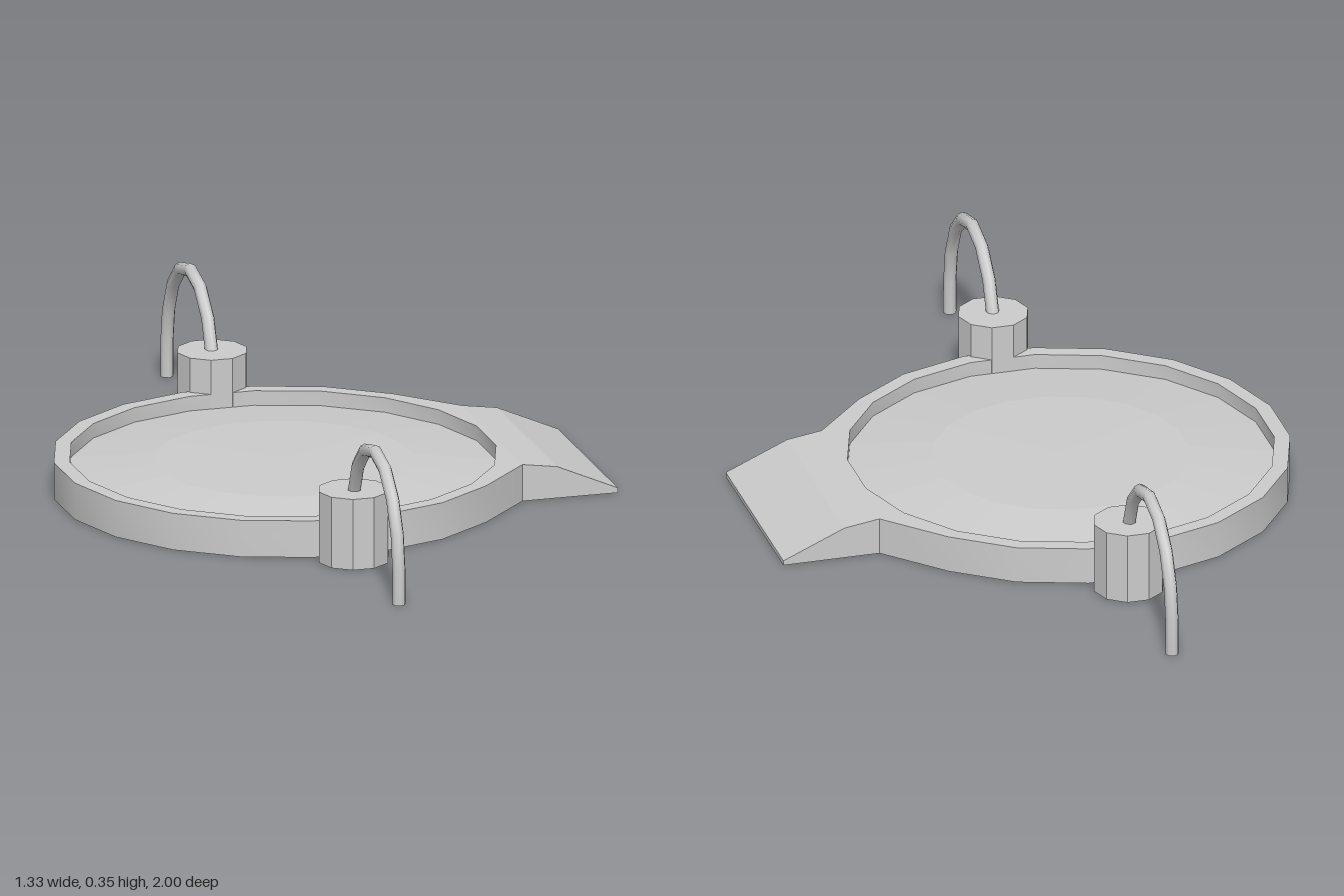
import * as THREE from 'three';

const SIDES = 20, CX = -0.11, TOP = 0.093, LIP_X = 0.422, LIP_Z = 0.255, INNER = 0.523, FLOOR = 0.056;
const smooth = new THREE.MeshStandardMaterial({ color: 0xcccccc, side: THREE.DoubleSide });
const flat = new THREE.MeshStandardMaterial({ color: 0xcccccc, flatShading: true, side: THREE.DoubleSide });

function mesh(name, geometry, material = flat) {
  const m = new THREE.Mesh(geometry, material);
  m.name = name;
  return m;
}

// Ring of points; half a step of turn puts a flat side on each axis
function ring(radius, y) {
  return Array.from({ length: SIDES }, (_, i) => {
    const a = ((i + 0.5) / SIDES) * Math.PI * 2;
    return [CX + radius * Math.cos(a), y, -radius * Math.sin(a)];
  });
}

// Outer ring, squared off where the lip joins on +x
function outerRing(y) {
  const pts = ring(0.562, y);
  for (const i of [0, 1, SIDES - 2, SIDES - 1]) {
    pts[i][0] = LIP_X;
    if (i === 1 || i === SIDES - 2) pts[i][2] = Math.sign(pts[i][2]) * LIP_Z;
  }
  return pts;
}

// Joins successive rows of points with quads; keep(i) drops chosen columns
function loft(rows, closed, keep = () => true) {
  const n = rows[0].length, index = [];
  for (let r = 0; r < rows.length - 1; r++) {
    for (let i = 0; i < (closed ? n : n - 1); i++) {
      if (!keep(i)) continue;
      const j = (i + 1) % n, a = r * n + i, b = r * n + j, c = a + n, d = b + n;
      index.push(a, b, c, b, d, c);
    }
  }
  const g = new THREE.BufferGeometry();
  g.setAttribute('position', new THREE.Float32BufferAttribute(rows.flat(2), 3));
  g.setIndex(index);
  g.computeVertexNormals();
  return g;
}

// Post with a hooked pipe, on the +z side
function createPost(side) {
  const group = new THREE.Group();
  group.name = side + 'Post';
  const h = 0.18, r = 0.088;
  const body = mesh('postBody', new THREE.CylinderGeometry(r, r, h, 10, 1, true, Math.PI / 10));
  body.position.set(CX, h / 2, 0.6);
  const cap = mesh('postCap', new THREE.CircleGeometry(r, 10).rotateX(-Math.PI / 2));
  cap.position.set(CX, h, 0.6);
  const path = new THREE.CatmullRomCurve3([
    [0.602, 0.17], [0.637, 0.25], [0.7, 0.308], [0.78, 0.329], [0.87, 0.306],
    [0.938, 0.24], [0.973, 0.16], [0.984, 0.08], [0.984, 0],
  ].map(([z, y]) => new THREE.Vector3(CX, y, z)));
  const hook = mesh('hook', new THREE.TubeGeometry(path, 8, 0.0165, 8), smooth);
  group.add(body, cap, hook);
  return group;
}

export function createModel() {
  const model = new THREE.Group();
  model.name = 'tray';

  // Rim: outer wall (open behind the lip), flat top and inner wall
  const behindLip = (i) => i === 0 || i === SIDES - 2 || i === SIDES - 1;
  model.add(
    mesh('outerWall', loft([outerRing(0), outerRing(TOP)], true, (i) => !behindLip(i)), smooth),
    mesh('rimTop', loft([outerRing(TOP), ring(INNER, TOP)], true)),
    mesh('innerWall', loft([ring(INNER, TOP), ring(INNER, FLOOR)], true), smooth),
  );

  // Floor rising gently to a raised middle disc
  model.add(mesh('floor', loft([ring(INNER, FLOOR), ring(0.315, 0.08), ring(0, 0.083)], true)));

  // Sloping lip: open-bottomed cover with two cheeks
  const profile = [[LIP_X, TOP], [0.51, 0.08], [0.665, 0.012], [0.665, 0]];
  model.add(mesh('lipTop', loft(profile.map(([x, y]) => [[x, y, LIP_Z], [x, y, -LIP_Z]]).reverse(), false)));
  for (const s of [1, -1]) {
    const cheek = new THREE.Shape([[LIP_X, 0], ...profile].map(([x, y]) => new THREE.Vector2(x, y)));
    const m = mesh(s > 0 ? 'lipFrontCheek' : 'lipBackCheek', new THREE.ShapeGeometry(cheek));
    m.position.z = s * LIP_Z;
    model.add(m);
  }

  // Two mirrored posts
  const front = createPost('front'), back = createPost('back');
  back.scale.z = -1;
  model.add(front, back);
  return model;
}
